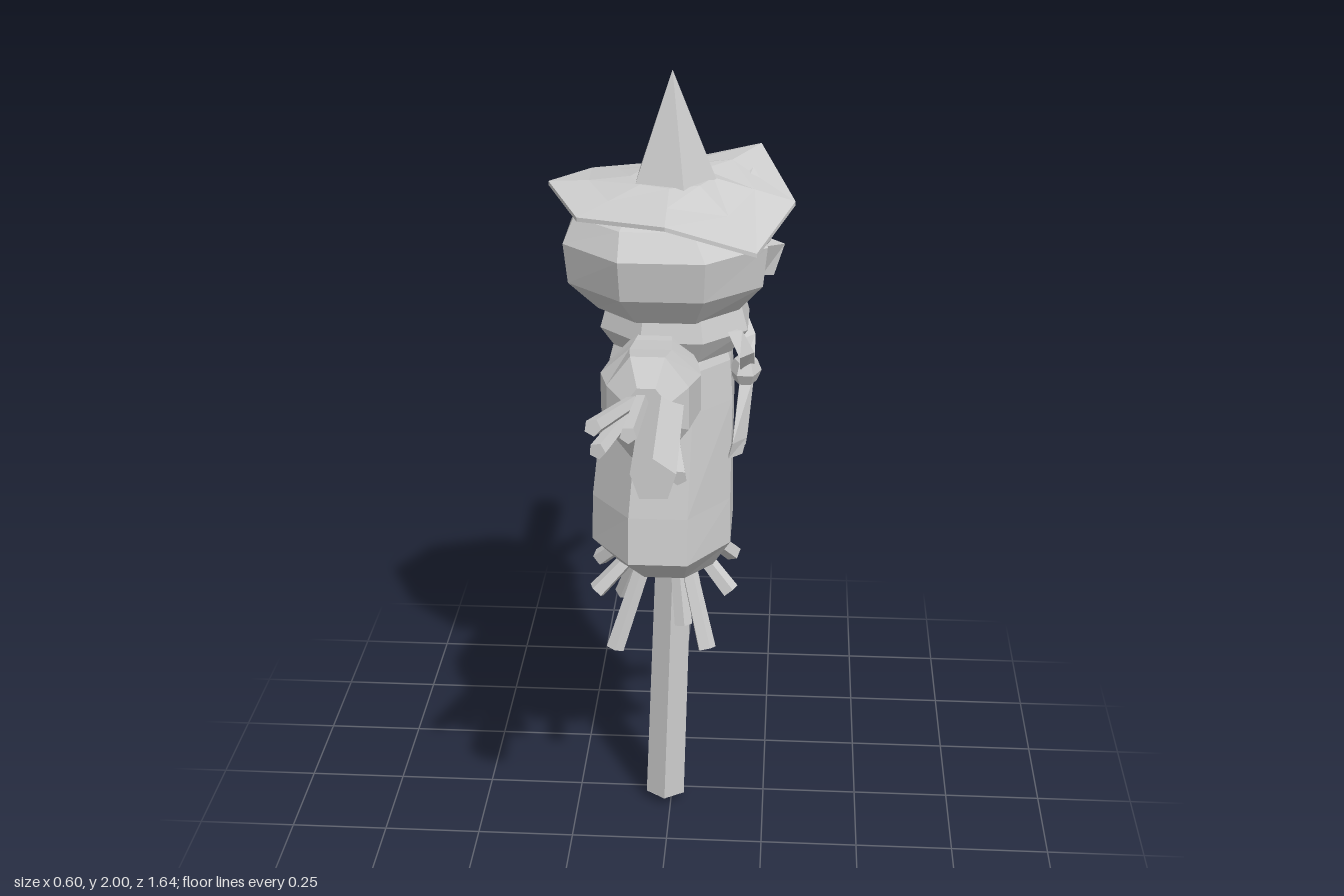
import * as THREE from 'three';

const mat = new THREE.MeshStandardMaterial({ color: 0xcccccc, flatShading: true, side: THREE.DoubleSide });
const V = (x, y, z) => new THREE.Vector3(x, y, z);

// Octagon with flats on the axes: unit corners, anticlockwise from above
const K = 0.42;
const OCT = [[K, 1], [1, K], [1, -K], [K, -1], [-K, -1], [-1, -K], [-1, K], [-K, 1]];
const octRing = ([y, cx, cz, sx, sz]) => OCT.map(([x, z]) => [cx + x * sx, y, cz + z * sz]);

// Skin a stack of rings and close both ends
function loft(rings) {
  const n = rings[0].length, idx = [];
  for (let r = 0; r < rings.length - 1; r++) {
    for (let i = 0; i < n; i++) {
      const a = r * n + i, b = r * n + (i + 1) % n;
      idx.push(a, b, b + n, a, b + n, a + n);
    }
  }
  const top = (rings.length - 1) * n;
  for (let i = 1; i < n - 1; i++) idx.push(0, i + 1, i, top, top + i, top + i + 1);
  const g = new THREE.BufferGeometry();
  g.setAttribute('position', new THREE.Float32BufferAttribute(rings.flat(2), 3));
  g.setIndex(idx);
  g.computeVertexNormals();
  return g;
}

export function createModel() {
  const model = new THREE.Group();
  const add = (name, geo) => {
    const m = new THREE.Mesh(geo, mat);
    m.name = name;
    model.add(m);
    return m;
  };
  // Tapered stick from a to b
  const rod = (name, a, b, ra, rb = ra) => {
    const d = b.clone().sub(a);
    const m = add(name, new THREE.CylinderGeometry(rb, ra, d.length(), 5));
    m.position.copy(a).addScaledVector(d, 0.5);
    m.quaternion.setFromUnitVectors(V(0, 1, 0), d.normalize());
  };

  // Pole with a blunt point, and the crossbar
  rod('pole', V(-0.015, 0.025, 0.05), V(0.01, 0.85, 0.03), 0.053, 0.048);
  rod('poleTip', V(-0.015, 0, 0.05), V(-0.015, 0.026, 0.05), 0.006, 0.053);
  rod('crossbar', V(0.01, 1.305, 0.82), V(-0.013, 1.31, -0.82), 0.052);

  // Coat, collar and head
  add('coat', loft([
    [0.735, -0.01, 0.025, 0.12, 0.145], [0.82, -0.02, 0.025, 0.175, 0.245],
    [0.94, -0.02, 0.025, 0.173, 0.23], [1.2, -0.005, 0.022, 0.16, 0.185],
    [1.3, 0, 0.02, 0.148, 0.17], [1.36, 0, 0.02, 0.13, 0.14],
  ].map(octRing)));
  add('collar', loft([
    [1.32, 0.01, 0.02, 0.14, 0.15], [1.38, 0.01, 0.02, 0.18, 0.18],
    [1.435, 0.01, 0.02, 0.165, 0.165],
  ].map(octRing)));
  add('head', loft([
    [1.43, -0.005, 0.025, 0.17, 0.17], [1.5, -0.01, 0.025, 0.235, 0.22],
    [1.6, -0.01, 0.025, 0.245, 0.235], [1.66, -0.025, 0.02, 0.205, 0.19],
    [1.7, -0.03, 0.015, 0.14, 0.12],
  ].map(octRing)));

  // Face
  for (const z of [0.1, -0.05]) {
    const eye = add('eye', new THREE.SphereGeometry(0.03, 8, 6));
    eye.position.set(0.215, 1.625, z);
  }
  add('nose', loft([
    [[0.22, 1.5, 0.034], [0.25, 1.5, 0.028], [0.22, 1.5, 0.022]],
    [[0.222, 1.585, 0.072], [0.275, 1.58, 0.028], [0.222, 1.585, -0.016]],
  ]));

  // Hat: wavy brim, heights run from +z round by the face (+x)
  const heights = [1.695, 1.61, 1.68, 1.77, 1.7, 1.7, 1.72, 1.69];
  const brimRing = (rx, rz, lift, wave) => heights.map((h, i) => {
    const a = i * Math.PI / 4;
    return [Math.sin(a) * rx, 1.725 + (h - 1.725) * wave + lift, 0.02 + Math.cos(a) * rz];
  });
  add('hatBrim', loft([
    brimRing(0.17, 0.16, -0.015, 0.2), brimRing(0.298, 0.272, -0.006, 1),
    brimRing(0.298, 0.272, 0.004, 1), brimRing(0.2, 0.185, 0.005, 0.4),
    brimRing(0.1, 0.1, 0.015, 0),
  ]));
  const cone = add('hatCone', new THREE.ConeGeometry(0.112, 0.28, 5));
  cone.rotation.y = Math.PI / 2;
  cone.position.set(0.002, 1.86, 0.022);

  // Sleeves: widest halfway when seen from above, flaring in height to the cuff
  const sleeve = loft([
    [0, 0, 0, 0.08, 0.085], [0.1, 0, 0, 0.105, 0.09], [0.2, 0, 0, 0.118, 0.105],
    [0.3, 0, 0, 0.095, 0.125], [0.345, 0, 0, 0.05, 0.065],
  ].map(octRing));
  for (const [side, x, y, z] of [[1, -0.03, 1.31, 0.13], [-1, 0.005, 1.29, -0.09]]) {
    const s = add('sleeve', sleeve);
    s.rotation.x = side * Math.PI / 2;
    s.position.set(x, y, z);
  }

  // Straw hands: start and tip
  for (const [a, b] of [
    [[-0.05, 1.33, 0.42], [-0.125, 1.395, 0.75]], [[-0.04, 1.34, 0.42], [-0.05, 1.37, 0.73]],
    [[-0.07, 1.3, 0.42], [-0.125, 1.3, 0.66]], [[0.02, 1.28, 0.42], [0.055, 1.24, 0.66]],
    [[0.03, 1.27, -0.38], [0.085, 1.195, -0.65]], [[0, 1.31, -0.38], [0.012, 1.35, -0.68]],
    [[-0.03, 1.26, -0.38], [-0.055, 1.165, -0.72]], [[0.01, 1.23, -0.38], [0.02, 1.165, -0.62]],
  ]) rod('handStraw', V(...a), V(...b), 0.017, 0.02);

  // Straw under the coat: tips, rooted near the pole
  for (const [x, y, z] of [
    [0.1, 0.55, 0.2], [-0.14, 0.51, 0.14], [-0.19, 0.65, 0.09], [0.155, 0.65, -0.15],
    [0.04, 0.52, -0.22], [-0.14, 0.53, -0.13], [-0.2, 0.65, -0.1], [0.025, 0.47, -0.03],
    [0.04, 0.52, -0.09], [0.155, 0.66, 0.09], [0.035, 0.57, 0.11],
  ]) rod('skirtStraw', V(x * 0.4, 0.77, 0.025 + (z - 0.025) * 0.45), V(x, y, z), 0.02, 0.024);

  // Scarf knot with two upper flaps and two flared tails
  const knot = add('scarfKnot', new THREE.SphereGeometry(0.05, 6, 4));
  knot.scale.set(0.8, 0.8, 1.1);
  knot.position.set(0.185, 1.26, 0.05);
  const flap = (a, mid, b, w0, w1, w2) => {
    const ring = (p, w) => [[p[0] - 0.012, p[1], p[2] + w], [p[0] + 0.022, p[1], p[2]],
      [p[0] - 0.012, p[1], p[2] - w]];
    add('scarfFlap', loft([ring(a, w0), ring(mid, w1), ring(b, w2)]));
  };
  for (const [side, top, tip] of [
    [1, [0.155, 1.39, 0.125], [0.16, 1.06, 0.115]], [-1, [0.155, 1.38, -0.075], [0.165, 1.03, -0.01]],
  ]) {
    flap([0.185, 1.26, 0.05], [0.185, 1.33, 0.05 + side * 0.065], top, 0.025, 0.042, 0.015);
    flap(tip, [0.17, tip[1] + 0.04, tip[2] - side * 0.01], [0.185, 1.25, 0.05 + side * 0.012], 0.036, 0.045, 0.014);
  }
  return model;
}
